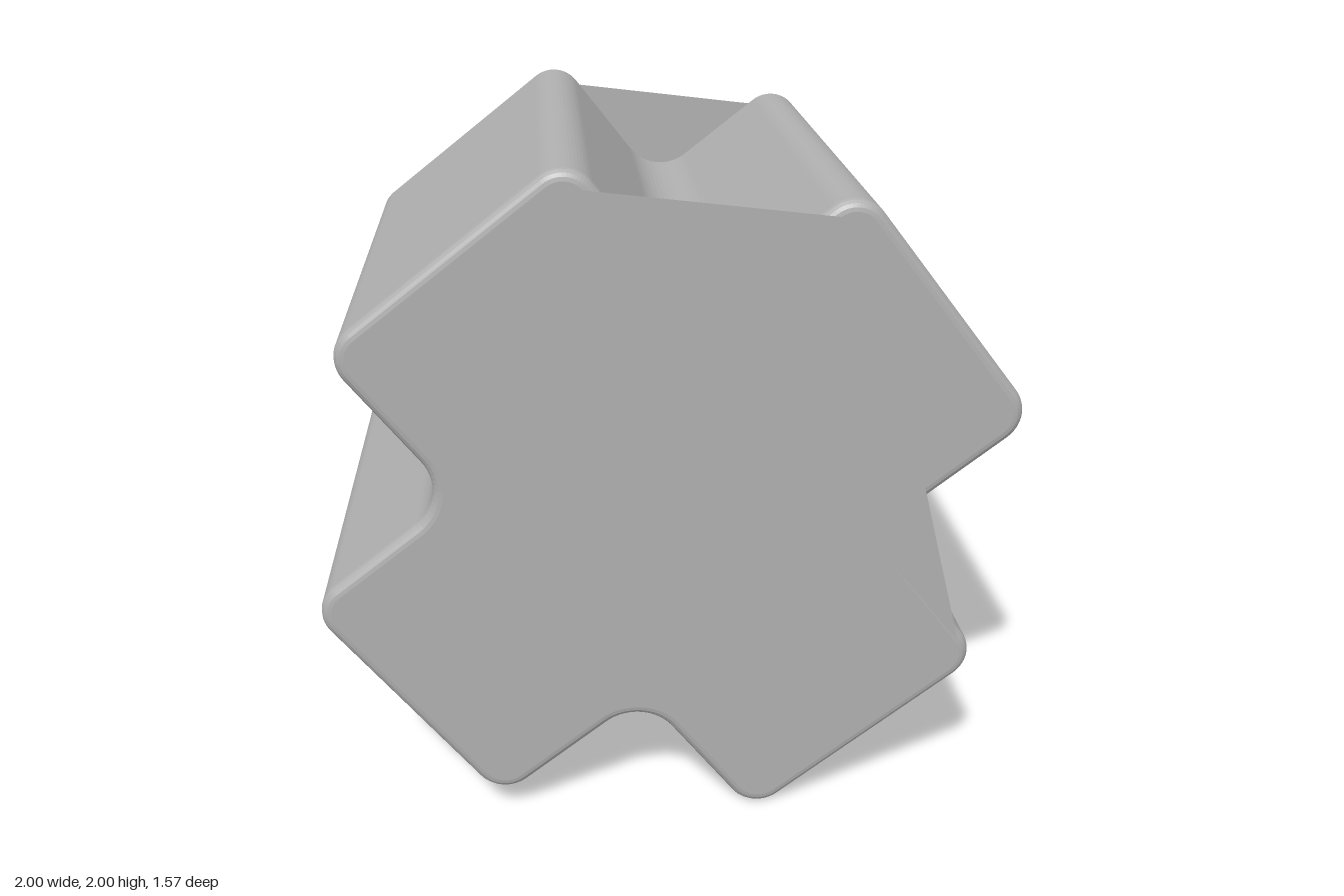
import * as THREE from 'three';

const TILT = THREE.MathUtils.degToRad(38);
const HALF_WIDTH = 0.431;  // half the width of an arm
const REACH = 0.981;       // centre to the end of an arm
const ROUND = 0.1;         // outer corner radius
const FILLET = 0.14;       // radius in the notches
const HALF_DEPTH = 0.785;
const BEVEL = 0.03;

// Outline of a cross with four rounded arms
function crossShape() {
  const shape = new THREE.Shape();
  const q = Math.PI / 2;
  for (let i = 0; i < 4; i++) {
    const t = i * q;
    const arc = (u, v, r, from, to, clockwise) => shape.absarc(
      u * Math.cos(t) - v * Math.sin(t), u * Math.sin(t) + v * Math.cos(t),
      r, from + t, to + t, clockwise);
    const n = HALF_WIDTH + FILLET;
    arc(n, -n, FILLET, 2 * q, q, true);
    arc(REACH - ROUND, ROUND - HALF_WIDTH, ROUND, -q, 0, false);
    arc(REACH - ROUND, HALF_WIDTH - ROUND, ROUND, 0, q, false);
  }
  shape.closePath();
  return shape;
}

export function createModel() {
  const model = new THREE.Group();
  model.name = 'crossBlock';
  const grey = new THREE.MeshStandardMaterial({ color: 0xb0b0b0, side: THREE.DoubleSide });
  grey.name = 'grey';

  // Long cross-shaped body with softened end edges
  const bodyGeometry = new THREE.ExtrudeGeometry(crossShape(), {
    depth: 2 * (HALF_DEPTH - BEVEL), curveSegments: 7,
    bevelEnabled: true, bevelThickness: BEVEL, bevelSize: BEVEL,
    bevelOffset: -BEVEL, bevelSegments: 4,
  });
  bodyGeometry.translate(0, 0, BEVEL - HALF_DEPTH);
  const body = new THREE.Mesh(bodyGeometry, grey);
  body.name = 'crossBody';
  model.add(body);

  // Thin webs closing two of the notches at both ends
  const webs = {
    topWeb: [[0.4, 0.4], [0.885, 0.4], [0.4, 0.885]],
    sideWeb: [[0.4, -0.4], [0.408, -0.883], [0.615, -0.4]],
  };
  for (const [name, corners] of Object.entries(webs)) {
    const shape = new THREE.Shape(corners.map(([x, y]) => new THREE.Vector2(x, y)));
    for (const end of [1, -1]) {
      const geometry = new THREE.ShapeGeometry(shape);
      if (end < 0) {
        // turn the back web to face outward
        geometry.scale(-1, 1, 1);
        geometry.rotateY(Math.PI);
      }
      if (end < 0) {
        const index = geometry.index.array;
        for (let i = 0; i < index.length; i += 3) {
          [index[i], index[i + 1]] = [index[i + 1], index[i]];
        }
        geometry.computeVertexNormals();
      }
      geometry.translate(0, 0, end * HALF_DEPTH);
      const web = new THREE.Mesh(geometry, grey);
      web.name = (end > 0 ? 'front ' : 'back ') + name;
      model.add(web);
    }
  }

  model.rotation.z = TILT;
  model.position.y = 1;
  const root = new THREE.Group();
  root.name = 'model';
  root.add(model);
  return root;
}
